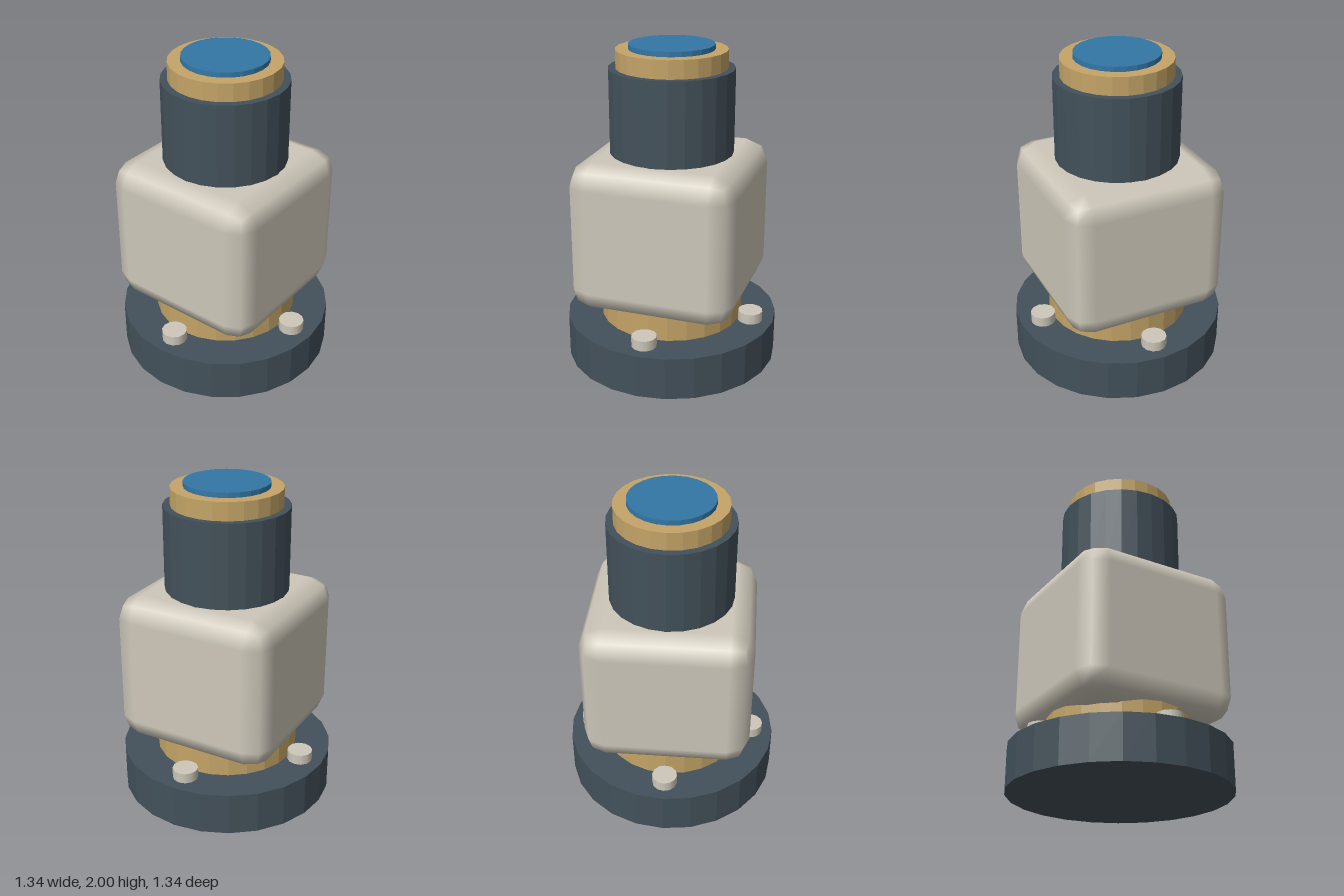
import * as THREE from 'three';
import { RoundedBoxGeometry } from 'three/addons/geometries/RoundedBoxGeometry.js';

function material(name, color, flatShading) {
  const m = new THREE.MeshStandardMaterial({ color, flatShading });
  m.name = name;
  return m;
}

export function createModel() {
  const group = new THREE.Group();
  group.name = 'valveActuator';

  const slate = material('slate', 0x43515a, true);
  const brass = material('brass', 0xc4a467, true);
  const blue = material('blue', 0x3477a6, true);
  const ivory = material('ivory', 0xcdc7b9, false);

  // Upright cylinder between two heights
  function disc(name, radius, y0, y1, mat, x = 0, z = 0, sides = 24) {
    const mesh = new THREE.Mesh(new THREE.CylinderGeometry(radius, radius, y1 - y0, sides), mat);
    mesh.name = name;
    mesh.position.set(x, (y0 + y1) / 2, z);
    group.add(mesh);
  }

  // Base flange and neck
  disc('baseFlange', 0.67, 0, 0.27, slate);
  disc('neck', 0.45, 0.26, 0.5, brass);

  // Four bolts around the flange
  for (let i = 0; i < 4; i++) {
    const a = (i * Math.PI) / 2;
    disc('bolt', 0.078, 0.26, 0.335, ivory, 0.525 * Math.cos(a), 0.525 * Math.sin(a), 12);
  }

  // Rounded housing
  const housing = new THREE.Mesh(new RoundedBoxGeometry(1.03, 0.94, 1.03, 1, 0.14), ivory);
  housing.name = 'housing';
  housing.position.y = 0.875;
  group.add(housing);

  // Stacked top column
  disc('column', 0.38, 1.3, 1.86, slate);
  disc('collar', 0.336, 1.84, 1.97, brass);
  disc('topCap', 0.258, 1.95, 2, blue);

  return group;
}
